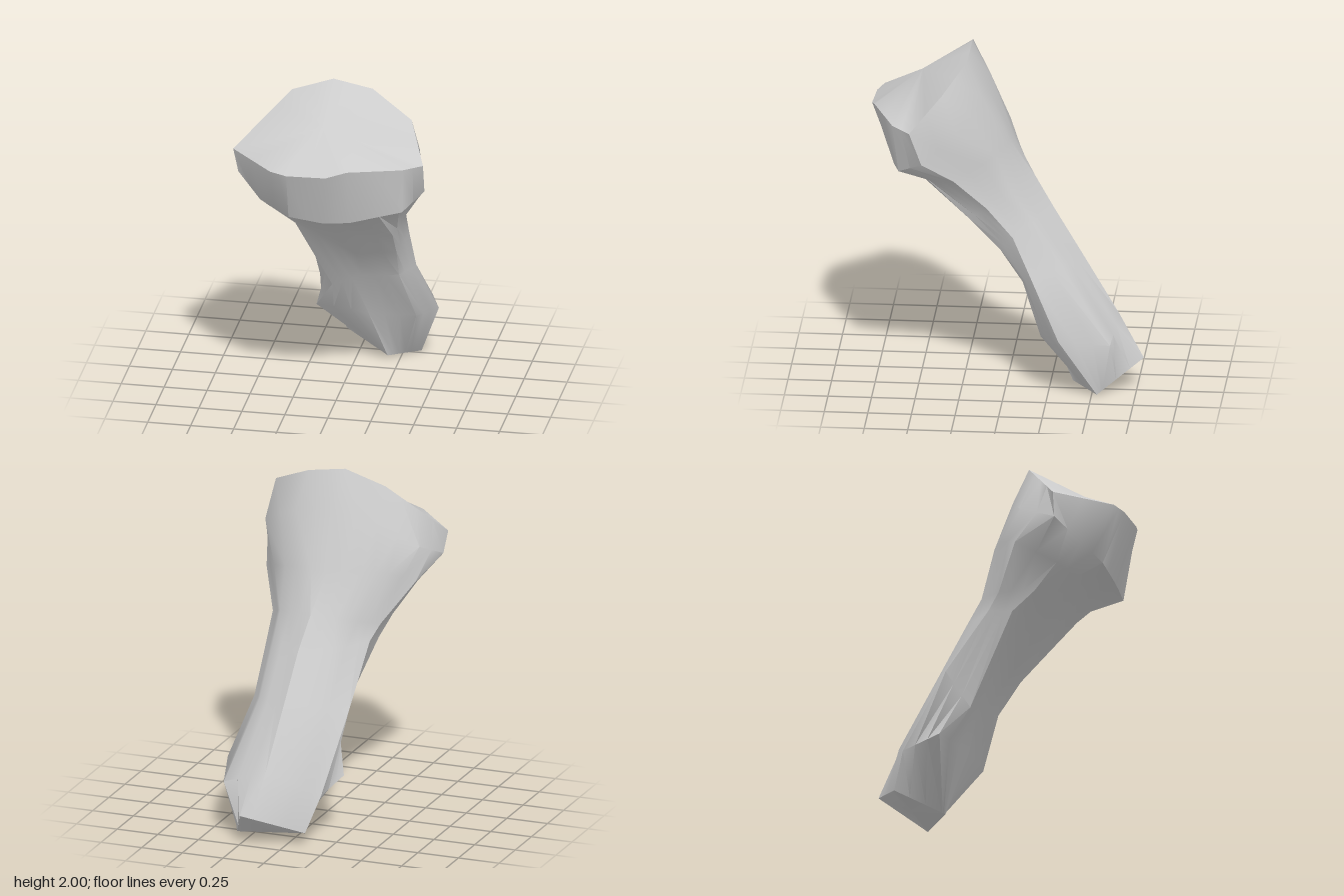
import * as THREE from 'three';
import { toCreasedNormals } from 'three/addons/utils/BufferGeometryUtils.js';

const N = 24; // points per resampled section

// Sections run from the left side (+x) over the front (+z) to -x and the back.
// Flared head: rim of the sloping end face, lower lip, neck
const headSections = [
  [[.56, 1.64, .53], [.46, 1.65, .635], [.16, 1.665, .76], [.04, 1.63, .785], [-.19, 1.62, .775], [-.29, 1.625, .74],
    [-.56, 1.62, .45], [-.41, 1.77, .34], [-.26, 1.92, .23], [-.02, 2, .215], [.21, 1.96, .225], [.46, 1.84, .35]],
  [[.555, 1.45, .46], [.45, 1.37, .6], [.15, 1.3, .65], [0, 1.29, .66], [-.2, 1.31, .65], [-.38, 1.37, .57],
    [-.53, 1.48, .45], [-.47, 1.58, .23], [-.25, 1.72, .13], [0, 1.79, .1], [.25, 1.75, .13], [.49, 1.62, .26]],
  [[.49, 1.33, .28], [.4, 1.3, .42], [.17, 1.25, .5], [0, 1.24, .5], [-.2, 1.24, .49], [-.36, 1.27, .42],
    [-.46, 1.38, .2], [-.34, 1.45, .08], [-.2, 1.47, .01], [0, 1.45, -.02], [.2, 1.45, 0], [.38, 1.4, .12]],
];

// Leaning shaft with a sharp back edge on -x, down to the wedge-shaped foot
const shaftSections = [
  [[.38, 1.13, .1], [.32, 1.04, .2], [.05, 1.03, .27], [-.29, 1.14, .27],
    [-.3, 1.15, .06], [-.15, 1.19, -.08], [.05, 1.22, -.15], [.28, 1.19, -.04]],
  [[.37, .95, -.05], [.31, .86, .03], [.08, .84, .06], [-.26, 1.04, .13],
    [-.26, 1.06, -.01], [-.11, 1.05, -.18], [.08, 1.04, -.26], [.28, 1.02, -.16]],
  [[.39, .7, -.16], [.3, .66, -.1], [.08, .62, -.13], [-.1, .54, -.16],
    [-.235, .72, -.27], [-.08, .75, -.36], [.1, .78, -.42], [.29, .75, -.33]],
  [[.49, .37, -.32], [.38, .36, -.21], [.1, .35, -.22], [-.22, .34, -.31],
    [-.17, .28, -.54], [-.03, .36, -.6], [.13, .42, -.64], [.4, .32, -.61]],
  [[.35, 0, -.53], [.27, .01, -.46], [.18, .02, -.38], [.16, .024, -.4],
    [-.1, .07, -.61], [.065, .13, -.7], [.23, .19, -.79], [.335, .023, -.56]],
];

// Spread N points evenly by index along a closed section
function resample(section) {
  const points = section.map(p => new THREE.Vector3(...p));
  return Array.from({ length: N }, (_, k) => {
    const t = k * points.length / N, i = Math.floor(t);
    return points[i].clone().lerp(points[(i + 1) % points.length], t - i);
  });
}

// Skin the sections from top to bottom and close both ends
function loft(rings, topCentre, bottomCentre) {
  const vertices = [...rings.flat(), topCentre, bottomCentre];
  const top = rings.length * N, bottom = top + 1, last = (rings.length - 1) * N;
  const index = [];
  for (let j = 0; j < N; j++) {
    const k = (j + 1) % N;
    for (let r = 0; r < last; r += N) {
      index.push(r + j, r + k, r + N + j, r + k, r + N + k, r + N + j);
    }
    index.push(top, k, j, bottom, last + j, last + k);
  }
  const geometry = new THREE.BufferGeometry().setFromPoints(vertices);
  geometry.setIndex(index);
  return toCreasedNormals(geometry, 0.75);
}

export function createModel() {
  const group = new THREE.Group();
  group.name = 'boneFragment';
  const rings = [...headSections, ...shaftSections].map(resample);
  const geometry = loft(rings, new THREE.Vector3(-.03, 1.82, .5), new THREE.Vector3(.125, .035, -.57));
  const bone = new THREE.Mesh(geometry, new THREE.MeshStandardMaterial({ color: 0xcccccc }));
  bone.name = 'bone';
  group.add(bone);
  return group;
}
